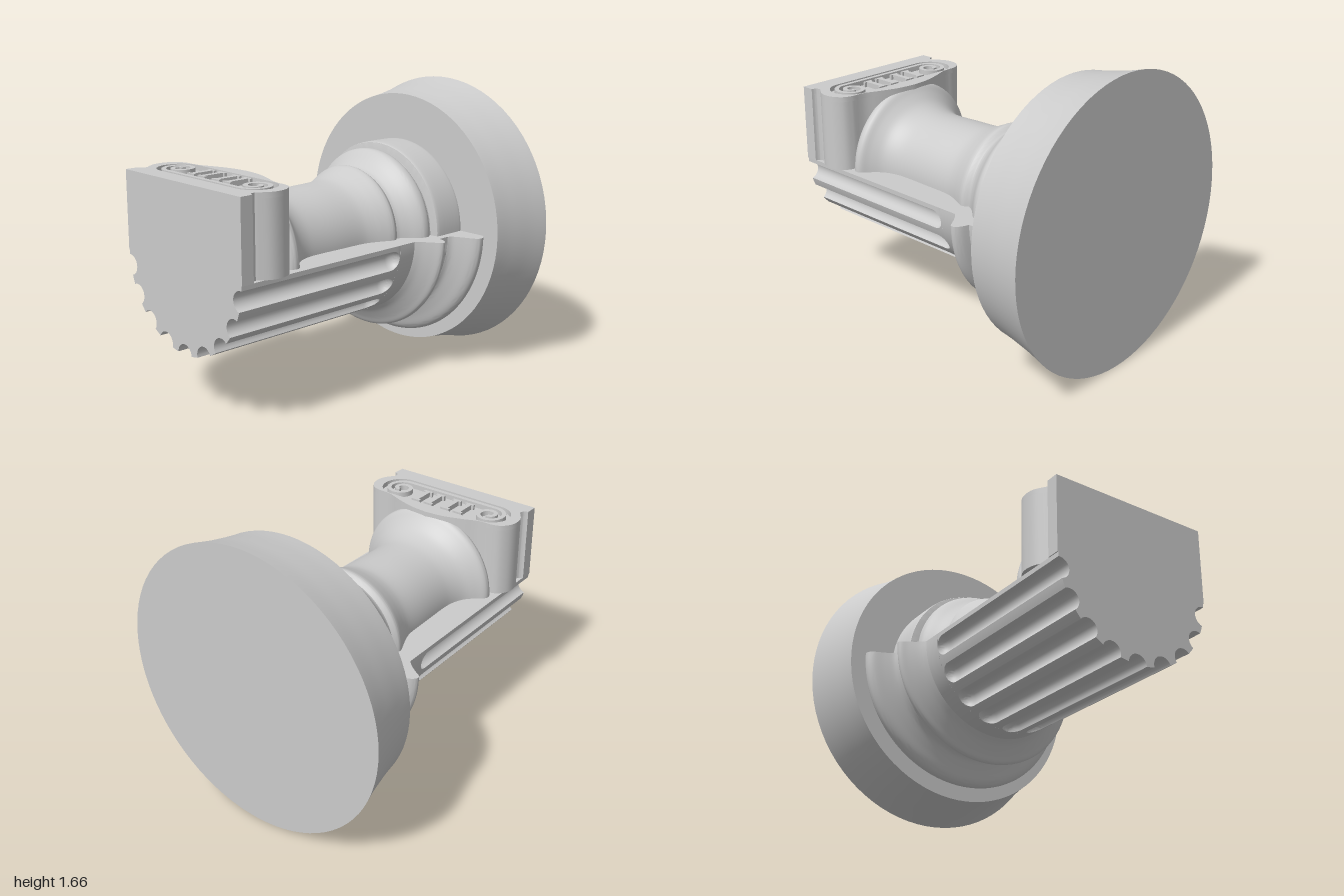
import * as THREE from 'three';
import { toCreasedNormals } from 'three/addons/utils/BufferGeometryUtils.js';

const AXIS_Y = 0.83;   // height of the horizontal column axis
const R = 0.48;        // radius of the fluted shaft
const TOP = 1.275;     // top of the capital block
const material = new THREE.MeshStandardMaterial({ color: 0xcccccc, side: THREE.DoubleSide });

function add(group, name, geometry, y = 0) {
  const mesh = new THREE.Mesh(toCreasedNormals(geometry, 0.55), material);
  mesh.name = name;
  mesh.position.y = y;
  group.add(mesh);
  return mesh;
}

// smooth run of [radius, z] points
const smooth = (pts, n = 28) =>
  new THREE.SplineCurve(pts.map(([r, z]) => new THREE.Vector2(r, z))).getPoints(n);
const sharp = (pts) => pts.map(([r, z]) => new THREE.Vector2(r, z));

// lathe about the z axis; the profile runs from back to front
function turned(profile, segments, start, length) {
  return new THREE.LatheGeometry(profile, segments, start, length).rotateX(Math.PI / 2);
}

// extrude a plan shape drawn in (x, -z) upwards
function raised(shape, depth) {
  return new THREE.ExtrudeGeometry(shape, { depth, bevelEnabled: false, curveSegments: 24 })
    .rotateX(-Math.PI / 2);
}

// half-round outline with nine round flutes of radius f
function flutedOutline(f) {
  const pts = [];
  const step = Math.PI / 9;
  const half = 2 * Math.asin(f / (2 * R));
  const sweep = Math.acos(f / (2 * R));
  const onShaft = (a) => pts.push(new THREE.Vector2(Math.sin(a) * R, -Math.cos(a) * R));
  onShaft(-Math.PI / 2);
  for (let k = -4; k <= 4; k++) {
    const a = k * step;
    const cx = Math.sin(a) * R, cy = -Math.cos(a) * R;
    for (let j = 0; j <= 14; j++) {
      const p = a + sweep - (2 * sweep * j) / 14;
      pts.push(new THREE.Vector2(cx - Math.sin(p) * f, cy + Math.cos(p) * f));
    }
    if (k < 4) for (let j = 1; j <= 3; j++) onShaft(a + half + ((step - 2 * half) * j) / 4);
  }
  onShaft(Math.PI / 2);
  return pts;
}

// shaft skin: the flutes close in quarter-round ends
function flutedShaft() {
  const F = 0.058, endZ = -0.077;
  const sections = [[1, F]];
  for (let i = 0; i <= 8; i++) {
    const t = (i / 8) * Math.PI / 2;
    sections.push([endZ - F * Math.sin(t), Math.max(F * Math.cos(t), 0.0005)]);
  }
  const position = [], index = [];
  let n = 0;
  sections.forEach(([z, f], s) => {
    const loop = flutedOutline(f);
    n = loop.length;
    loop.forEach((p) => position.push(p.x, p.y, z));
    if (s === 0) return;
    for (let i = 0; i < n - 1; i++) {
      const a = (s - 1) * n + i, b = a + 1, c = s * n + i, d = c + 1;
      index.push(a, c, b, b, c, d);
    }
  });
  const g = new THREE.BufferGeometry();
  g.setAttribute('position', new THREE.Float32BufferAttribute(position, 3));
  g.setIndex(index);
  g.computeVertexNormals();
  return g;
}

// symmetric plan outline of the capital block
function blockShape() {
  const side = [
    ...smooth([[0, 0.56], [0.11, 0.572], [0.22, 0.605], [0.31, 0.64], [0.37, 0.648]], 14),
    ...smooth([[0.40, 0.647], [0.455, 0.665], [0.495, 0.715], [0.505, 0.77], [0.495, 0.82],
      [0.465, 0.868], [0.452, 0.885]], 20),
    ...smooth([[0.455, 0.905], [0.465, 0.918], [0.485, 0.925]], 5),
    ...sharp([[0.485, 1]]),
  ];
  const right = side.map((p) => new THREE.Vector2(p.x, -p.y));
  const left = right.slice(1).reverse().map((p) => new THREE.Vector2(-p.x, p.y));
  return new THREE.Shape([...right, ...left]);
}

// ribbon of constant width along a plan path of (x, z)
function ribbonShape(path, width) {
  const a = [], b = [];
  path.forEach((p, i) => {
    const q = path[Math.max(i - 1, 0)], r = path[Math.min(i + 1, path.length - 1)];
    const d = r.clone().sub(q).normalize().multiplyScalar(width / 2);
    a.push(new THREE.Vector2(p.x - d.y, -(p.y + d.x)));
    b.push(new THREE.Vector2(p.x + d.y, -(p.y - d.x)));
  });
  return new THREE.Shape([...a, ...b.reverse()]);
}

export function createModel() {
  const model = new THREE.Group();
  model.name = 'halfColumnPedestal';

  // flared round base
  add(model, 'base', turned([
    ...sharp([[0, -1]]),
    ...smooth([[0.83, -1], [0.803, -0.9], [0.782, -0.8], [0.767, -0.72], [0.756, -0.64]], 12),
    ...sharp([[0, -0.64]]),
  ], 80, 0, Math.PI * 2), AXIS_Y);

  // lower half: fluted shaft, front face and foot mouldings
  add(model, 'flutedShaft', flutedShaft(), AXIS_Y);
  const face = new THREE.ShapeGeometry(new THREE.Shape(flutedOutline(0.058))).translate(0, 0, 1);
  add(model, 'shaftFrontFace', face, AXIS_Y);
  const foot = [
    ...smooth([[0.65, -0.64], [0.675, -0.615], [0.685, -0.58], [0.66, -0.55], [0.60, -0.525],
      [0.55, -0.50], [0.53, -0.475]]),
    ...smooth([[0.53, -0.405], [0.575, -0.39], [0.603, -0.365], [0.60, -0.34], [0.56, -0.315],
      [0.51, -0.28], [R, -0.25]]),
    ...sharp([[R, -0.135]]),
  ];
  add(model, 'footMouldings', turned(foot, 64, -Math.PI / 2, Math.PI), AXIS_Y);

  // flat cut face of the lower half
  const cut = [...foot, ...sharp([[R, 1]])];
  add(model, 'cutFace', new THREE.ShapeGeometry(new THREE.Shape([
    ...cut.map((p) => new THREE.Vector2(p.x, -p.y)),
    ...cut.map((p) => new THREE.Vector2(-p.x, -p.y)).reverse(),
  ])).rotateX(-Math.PI / 2), AXIS_Y);

  // upper half: slimmer turned shaft with collar and bell
  add(model, 'turnedShaft', turned([
    ...smooth([[0.482, -0.64], [0.486, -0.625], [0.486, -0.46], [0.478, -0.438]], 12),
    ...sharp([[0.435, -0.432]]),
    ...smooth([[0.435, -0.425], [0.452, -0.40], [0.452, -0.365], [0.432, -0.335], [0.395, -0.295],
      [0.366, -0.255], [0.358, -0.235]], 24),
    ...smooth([[0.362, -0.228], [0.375, -0.205], [0.372, -0.18], [0.352, -0.135], [0.325, -0.07],
      [0.310, 0], [0.306, 0.15], [0.302, 0.32], [0.310, 0.41], [0.340, 0.485], [0.390, 0.54],
      [0.432, 0.575], [0.440, 0.605], [0.425, 0.632], [0.40, 0.645]], 56),
    ...sharp([[0.38, 0.68]]),
  ], 64, Math.PI / 2, Math.PI), AXIS_Y);

  // capital block with a sunken panel in its top
  const relief = 0.03;
  add(model, 'capitalBlock', raised(blockShape(), TOP - relief - AXIS_Y), AXIS_Y);
  const rim = blockShape();
  const panel = new THREE.Path();
  panel.absarc(0.32, -0.77, 0.12, -Math.PI / 2, Math.PI / 2, false);
  panel.absarc(-0.32, -0.77, 0.12, Math.PI / 2, Math.PI * 1.5, false);
  rim.holes.push(panel);
  add(model, 'capitalRim', raised(rim, relief), TOP - relief);

  // pair of volutes joined by a straight band
  const spiral = [];
  for (let i = 0; i <= 60; i++) {
    const t = i / 60;
    const a = Math.PI / 2 + (1 - t) * Math.PI * 3;
    const r = 0.022 + 0.073 * t;
    spiral.push(new THREE.Vector2(-0.315 + Math.cos(a) * r, 0.763 + Math.sin(a) * r));
  }
  const mirrored = spiral.map((p) => new THREE.Vector2(-p.x, p.y)).reverse();
  add(model, 'voluteBand', raised(ribbonShape([...spiral, ...mirrored], 0.026), relief), TOP - relief);

  // small pilasters between the volutes
  for (const x of [-0.15, -0.06, 0.06, 0.15]) {
    const pilaster = new THREE.Group();
    pilaster.name = 'pilaster';
    add(pilaster, 'pilasterShaft', new THREE.BoxGeometry(0.03, relief, 0.12));
    for (const s of [-1, 1]) {
      add(pilaster, 'pilasterEnd', new THREE.BoxGeometry(0.06, relief, 0.016)).position.z = s * 0.066;
    }
    pilaster.position.set(x, TOP - relief / 2, 0.745);
    model.add(pilaster);
  }
  return model;
}
